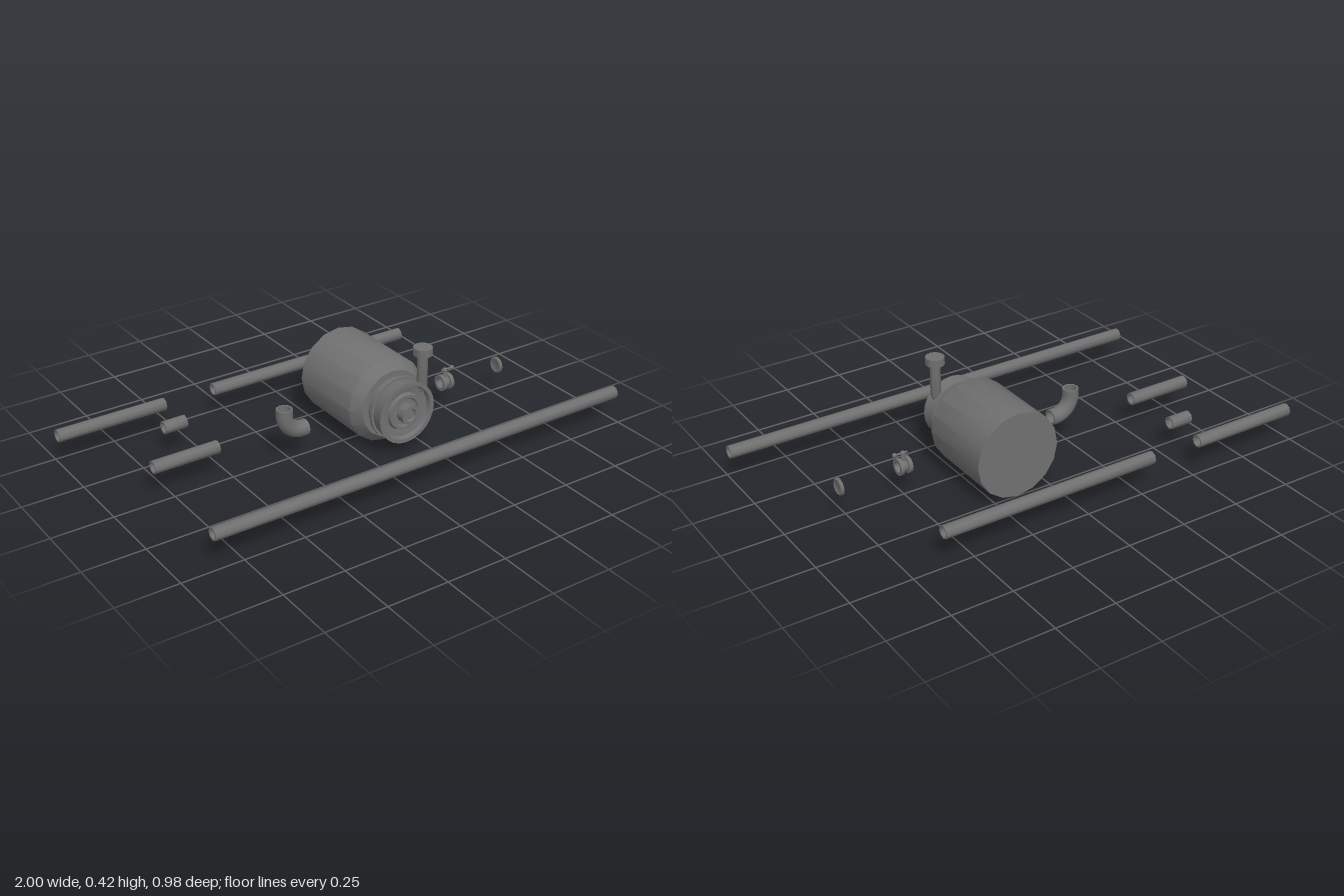
import * as THREE from 'three';
import { toCreasedNormals } from 'three/addons/utils/BufferGeometryUtils.js';

const material = new THREE.MeshStandardMaterial({ color: 0x707070, side: THREE.DoubleSide });
const AXIS_Y = 0.122; // height of the pipe axis

function mesh(name, geometry, parent) {
  const m = new THREE.Mesh(toCreasedNormals(geometry, 0.8), material);
  m.name = name;
  parent.add(m);
  return m;
}

// Turned solid: pairs of [radius, distance along axis]
function turned(profile, sides, axis = 'y') {
  const g = new THREE.LatheGeometry(profile.map(([r, d]) => new THREE.Vector2(r, d)), sides);
  if (axis === 'x') g.rotateZ(-Math.PI / 2);
  if (axis === 'z') g.rotateX(Math.PI / 2);
  return g;
}

function addPipes(parent) {
  const runs = [ // x start, x end, z
    [-0.85, 1.0, 0.46], [-1.0, -0.54, -0.463], [-0.32, 0.605, -0.463],
    [-0.635, -0.54, -0.293], [-0.81, -0.535, -0.05],
  ];
  const ro = 0.0265, ri = 0.0205;
  runs.forEach(([a, b, z], i) => {
    const section = [[ri, a], [ro, a], [ro, b], [ri, b], [ri, a]];
    const pipe = mesh('pipe' + (i + 1), turned(section, 8, 'x'), parent);
    pipe.position.set(0, AXIS_Y, z);
  });
}

function addPump(parent) {
  const pump = new THREE.Group();
  pump.name = 'pump';
  pump.position.set(0.147, 0.179, 0);
  parent.add(pump);
  mesh('motorHousing', turned([
    [0, -0.25], [0.177, -0.25], [0.177, 0.085], [0.141, 0.125], [0, 0.125],
  ], 16, 'z'), pump);
  // Neck, clamping flange, and flared front with a recessed face and hub
  mesh('pumpHead', turned([
    [0.113, 0.12], [0.115, 0.156], [0.13, 0.156], [0.13, 0.168], [0.12, 0.168],
    [0.128, 0.222], [0.112, 0.222], [0.106, 0.204], [0.078, 0.2], [0.073, 0.214],
    [0.06, 0.214], [0.055, 0.208], [0.039, 0.208], [0.039, 0.245], [0.026, 0.245],
    [0.022, 0.235], [0, 0.235],
  ], 24, 'z'), pump);
  const outlet = mesh('outletPipe', turned([
    [0, 0], [0.014, 0.0], [0.021, 0.025], [0.021, 0.16], [0, 0.16],
  ], 12), pump);
  outlet.position.set(0.087, 0.06, 0.196);
  const cap = mesh('outletCollar', turned([
    [0, 0], [0.038, 0], [0.038, 0.031], [0, 0.031],
  ], 14), pump);
  cap.position.set(0.087, 0.217, 0.196);
}

function addElbow(parent) {
  const elbow = new THREE.Group();
  elbow.name = 'elbow';
  elbow.position.set(-0.272, AXIS_Y, 0.005);
  parent.add(elbow);
  // Quarter bend from the upright mouth to the horizontal one
  const R = 0.075, K = R * 0.448;
  const v = (x, y) => new THREE.Vector3(x, y, 0);
  const path = new THREE.CurvePath();
  path.add(new THREE.LineCurve3(v(0, 0.105), v(0, R)));
  path.add(new THREE.CubicBezierCurve3(v(0, R), v(0, K), v(K, 0), v(R, 0)));
  path.add(new THREE.LineCurve3(v(R, 0), v(0.096, 0)));
  mesh('elbowWall', new THREE.TubeGeometry(path, 16, 0.033, 12), elbow);
  mesh('elbowBore', new THREE.TubeGeometry(path, 16, 0.025, 12), elbow);
  mesh('upperRim', new THREE.RingGeometry(0.025, 0.033, 12).rotateX(-Math.PI / 2), elbow)
    .position.y = 0.105;
  mesh('sideRim', new THREE.RingGeometry(0.025, 0.033, 12).rotateY(Math.PI / 2), elbow)
    .position.x = 0.096;
}

function addValve(parent) {
  const valve = new THREE.Group();
  valve.name = 'valve';
  valve.position.set(0.494, AXIS_Y, 0.007);
  parent.add(valve);
  mesh('valveBody', turned([
    [0.022, -0.025], [0.034, -0.025], [0.034, -0.01], [0.024, -0.008],
    [0.024, 0.009], [0.034, 0.011], [0.034, 0.026], [0.022, 0.026], [0.022, -0.025],
  ], 12, 'x'), valve);
  mesh('valveStem', new THREE.CylinderGeometry(0.01, 0.01, 0.035, 10), valve)
    .position.y = 0.033;
  mesh('stemCap', new THREE.SphereGeometry(0.01, 10, 8), valve).position.y = 0.054;
  const handle = mesh('valveHandle',
    new THREE.CylinderGeometry(0.004, 0.004, 0.055, 8).rotateZ(Math.PI / 2), valve);
  handle.position.set(0.01, 0.055, 0);
  mesh('handleKnob', new THREE.SphereGeometry(0.0095, 10, 8), valve)
    .position.set(0.036, 0.055, 0);
}

// Loose blanking disc with rounded rim
function addDisc(parent) {
  const disc = mesh('endDisc', turned([
    [0, -0.005], [0.024, -0.005], [0.028, -0.008], [0.034, -0.005],
    [0.034, 0.005], [0.028, 0.008], [0.024, 0.005], [0, 0.005],
  ], 14, 'x'), parent);
  disc.position.set(0.766, AXIS_Y, 0.007);
}

export function createModel() {
  const model = new THREE.Group();
  model.name = 'pumpAndPipeKit';
  addPipes(model);
  addPump(model);
  addElbow(model);
  addValve(model);
  addDisc(model);
  return model;
}
